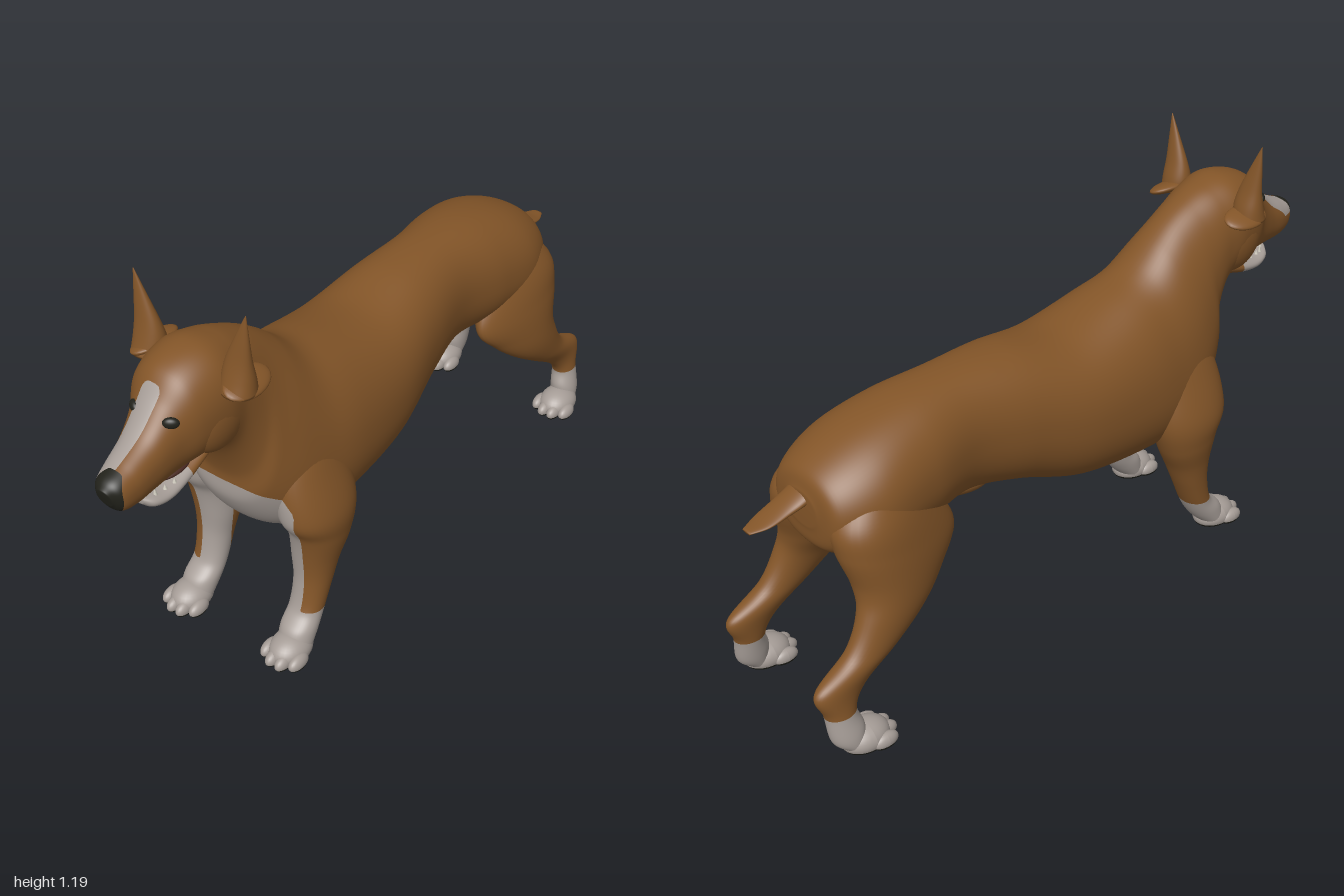
import * as THREE from 'three';

const mat = (name, color) => new THREE.MeshStandardMaterial({ name, color });
const brown = mat('brown coat', 0x835528);
const white = mat('white markings', 0xa69d97);
const black = mat('black nose and pads', 0x22221b);
const ivory = mat('ivory teeth', 0xd2cdc0);
const mouth = mat('dark mouth', 0x4a2a22);

// Smooth tube through egg-shaped rings. Each section: [centre x, half width, zA, yA, zB, yB, taper],
// where A and B are the two opposite ends of the ring in the side plane; taper narrows the A end.
function loft(sections, { side = 1, around = 40, steps = 8, square = 0.95 } = {}) {
  const curve = (f) => new THREE.CatmullRomCurve3(sections.map(f), false, 'catmullrom', 0.5);
  const ends = [curve((s) => new THREE.Vector3(0, s[3], s[2])), curve((s) => new THREE.Vector3(0, s[5], s[4]))];
  const widths = curve((s) => new THREE.Vector3(s[0] * side, s[1], s[6] ?? 0));
  const rings = (sections.length - 1) * steps;
  const pos = [], index = [];
  const soft = (v) => Math.sign(v) * Math.abs(v) ** square;
  for (let i = 0; i <= rings; i++) {
    const [a, b] = ends.map((c) => c.getPoint(i / rings));
    const w = widths.getPoint(i / rings);
    for (let j = 0; j < around; j++) {
      const t = (j / around) * Math.PI * 2, s = soft(Math.sin(t));
      pos.push(w.x + w.y * soft(Math.cos(t)) * (1 - w.z * s),
        (a.y + b.y) / 2 + s * (a.y - b.y) / 2, (a.z + b.z) / 2 + s * (a.z - b.z) / 2);
    }
  }
  for (let i = 0; i < rings; i++) for (let j = 0; j < around; j++) {
    const k = (j + 1) % around, a = i * around + j, b = i * around + k;
    index.push(a, b, b + around, a, b + around, a + around);
  }
  // close both ends
  [0, rings].forEach((i) => {
    const a = ends[0].getPoint(i / rings), b = ends[1].getPoint(i / rings), c = pos.length / 3;
    pos.push(widths.getPoint(i / rings).x, (a.y + b.y) / 2, (a.z + b.z) / 2);
    for (let j = 0; j < around; j++) {
      const p = i * around + j, q = i * around + (j + 1) % around;
      if (i) index.push(p, q, c); else index.push(q, p, c);
    }
  });
  const g = new THREE.BufferGeometry();
  g.setAttribute('position', new THREE.Float32BufferAttribute(pos, 3));
  g.setIndex(index);
  g.computeVertexNormals();
  return g;
}

// Ellipsoid, optionally flattened against the ground
function blob(x, y, z, rx, ry, rz, grounded = false) {
  const g = new THREE.SphereGeometry(1, 28, 20).scale(rx, ry, rz).translate(x, y, z);
  if (grounded) {
    const p = g.attributes.position;
    for (let i = 0; i < p.count; i++) p.setY(i, Math.max(p.getY(i), 0.003));
    g.computeVertexNormals();
  }
  return g;
}

// Gives the faces where field k is positive to material k + 1, cutting faces on the edge
function paint(g, fields) {
  const pos = [...g.attributes.position.array], nor = [...g.attributes.normal.array], src = g.index.array;
  let base = [];
  for (let i = 0; i < src.length; i += 3) base.push([src[i], src[i + 1], src[i + 2]]);
  const bins = fields.map((field) => {
    const inside = [], outside = [];
    const value = (v) => field(pos[3 * v], pos[3 * v + 1], pos[3 * v + 2]);
    const cut = (a, b) => {
      const va = value(a), t = va / (va - value(b));
      for (const list of [pos, nor]) for (let k = 0; k < 3; k++) {
        list.push(THREE.MathUtils.lerp(list[3 * a + k], list[3 * b + k], t));
      }
      return pos.length / 3 - 1;
    };
    for (const f of base) {
      const on = f.map((v) => value(v) > 0), count = on.filter(Boolean).length;
      if (count % 3 === 0) { (count ? inside : outside).push(f); continue; }
      const lone = on.indexOf(count === 1);
      const [a, b, c] = [0, 1, 2].map((k) => f[(lone + k) % 3]);
      const p = cut(a, b), q = cut(a, c);
      (count === 1 ? inside : outside).push([a, p, q]);
      (count === 1 ? outside : inside).push([p, b, c], [p, c, q]);
    }
    base = outside;
    return inside;
  });
  const out = new THREE.BufferGeometry();
  out.setAttribute('position', new THREE.Float32BufferAttribute(pos, 3));
  out.setAttribute('normal', new THREE.Float32BufferAttribute(nor, 3));
  out.setIndex([base, ...bins].flat(2));
  let start = 0;
  [base, ...bins].forEach((b, m) => { out.addGroup(start, b.length * 3, m); start += b.length * 3; });
  return out;
}

const BODY = [
  [0, 0.06, -0.85, 0.665, -0.85, 0.57], [0, 0.14, -0.82, 0.725, -0.83, 0.5, 0.05],
  [0, 0.19, -0.7, 0.785, -0.72, 0.46, 0.08], [0, 0.178, -0.55, 0.82, -0.55, 0.46, 0.05],
  [0, 0.148, -0.38, 0.83, -0.38, 0.465], [0, 0.172, -0.2, 0.825, -0.2, 0.42],
  [0, 0.208, 0, 0.8, 0, 0.345], [0, 0.215, 0.2, 0.84, 0.22, 0.322, 0.08],
  [0, 0.203, 0.3, 0.875, 0.38, 0.33, 0.15], [0, 0.183, 0.38, 0.94, 0.48, 0.39, 0.2],
  [0, 0.155, 0.44, 0.985, 0.55, 0.5, 0.18], [0, 0.134, 0.5, 1.02, 0.56, 0.6, 0.1],
  [0, 0.125, 0.57, 1.05, 0.6, 0.7], [0, 0.128, 0.65, 1.065, 0.65, 0.76],
  [0, 0.113, 0.74, 1.04, 0.72, 0.765], [0.008, 0.082, 0.8, 0.98, 0.78, 0.765],
  [0.014, 0.066, 0.86, 0.925, 0.86, 0.765], [0.018, 0.057, 0.93, 0.89, 0.92, 0.765],
  [0.022, 0.045, 0.978, 0.872, 0.965, 0.775], [0.022, 0.022, 1.0, 0.852, 0.985, 0.8],
];
const FRONT_LEG = [
  [0.11, 0.045, 0.42, 0.72, 0.28, 0.68], [0.138, 0.07, 0.49, 0.6, 0.25, 0.57],
  [0.168, 0.087, 0.505, 0.46, 0.25, 0.45], [0.175, 0.077, 0.47, 0.38, 0.28, 0.35],
  [0.17, 0.064, 0.455, 0.28, 0.32, 0.27], [0.171, 0.054, 0.455, 0.2, 0.35, 0.2],
  [0.17, 0.05, 0.475, 0.12, 0.39, 0.11], [0.172, 0.052, 0.52, 0.075, 0.42, 0.06],
  [0.175, 0.05, 0.54, 0.02, 0.46, 0.015],
];
const HIND_LEG = [
  [0.09, 0.05, -0.6, 0.73, -0.76, 0.7, 0.2], [0.115, 0.086, -0.53, 0.6, -0.835, 0.61, 0.3],
  [0.135, 0.086, -0.48, 0.48, -0.84, 0.53, 0.35], [0.158, 0.076, -0.54, 0.4, -0.815, 0.43, 0.25],
  [0.18, 0.06, -0.62, 0.33, -0.825, 0.36, 0.1], [0.19, 0.046, -0.72, 0.26, -0.88, 0.27],
  [0.195, 0.036, -0.83, 0.185, -0.985, 0.205], [0.202, 0.036, -0.875, 0.13, -0.968, 0.13],
  [0.214, 0.042, -0.865, 0.075, -0.96, 0.05], [0.22, 0.04, -0.87, 0.02, -0.93, 0.015],
];
const EAR = [
  [0.14, 0.046, 0.59, 0.97, 0.68, 0.97], [0.138, 0.045, 0.596, 1.01, 0.667, 1.01],
  [0.142, 0.036, 0.609, 1.06, 0.655, 1.06], [0.155, 0.02, 0.622, 1.125, 0.645, 1.125],
  [0.17, 0.001, 0.634, 1.195, 0.636, 1.195],
];
const TAIL = [
  [0.02, 0.016, -0.998, 0.61, -0.998, 0.602], [0.02, 0.034, -0.95, 0.62, -0.95, 0.605],
  [0.02, 0.04, -0.89, 0.642, -0.89, 0.614], [0.015, 0.044, -0.845, 0.667, -0.85, 0.625],
  [0.01, 0.045, -0.79, 0.71, -0.8, 0.64],
];
const JAW = [
  [0, 0.06, 0.66, 0.79, 0.66, 0.74], [0.005, 0.06, 0.74, 0.763, 0.74, 0.715],
  [0.01, 0.057, 0.81, 0.748, 0.81, 0.704], [0.014, 0.045, 0.86, 0.752, 0.86, 0.712],
  [0.016, 0.02, 0.885, 0.755, 0.883, 0.732],
];

// Marking outlines, positive inside
const bib = (x, y, z) => Math.min(z - 0.42, y - 0.36, 0.567 - 60 * x ** 4 - y, 0.19 - Math.abs(x));
const blaze = (x, y, z) => Math.min(z - 0.7, y - 0.84, 1.012 - 2e4 * (x + 0.005) ** 4 - y, x + 0.036, 0.024 - x);
const nose = (x, y, z) => Math.min(z - 0.95, 0.05 * (1 - ((x - 0.022) / 0.044) ** 2 - ((y - 0.828) / 0.057) ** 2));
const frontSock = (x, y, z) => Math.max(0.122 - y,
  Math.min(z - 0.4, 0.567 - 60 * x ** 4 - y, 0.178 + 0.05 * Math.max(0, y - 0.3) - Math.abs(x)));
const hindSock = (x, y) => 0.125 - y;
const sole = (x, y) => 0.011 - y;

export function createModel() {
  const model = new THREE.Group();
  model.name = 'dog';
  const add = (name, geometry, material) => {
    const m = new THREE.Mesh(geometry, material);
    m.name = name;
    model.add(m);
  };

  // Trunk, neck and head in one skin, with bib, nose and blaze
  add('body', paint(loft(BODY, { around: 80, steps: 10, square: 0.9 }), [bib, nose, blaze]), [brown, white, black, white]);
  add('tail', loft(TAIL), brown);
  add('belly', blob(0, 0, 0, 0.03, 0.025, 0.1).rotateX(0.25).translate(0, 0.442, -0.345), brown);

  // Open lower jaw with a row of teeth
  add('lowerJaw', paint(loft(JAW), [(x, y, z) => z - 0.735]), [brown, white]);
  add('mouthInside', blob(0.008, 0.762, 0.76, 0.045, 0.014, 0.07), mouth);
  for (let i = 0; i <= 8; i++) {
    const a = (i / 8) * Math.PI;
    add('tooth', new THREE.ConeGeometry(0.006, i === 2 || i === 6 ? 0.022 : 0.014, 6)
      .translate(0.013 + 0.042 * Math.cos(a), 0.756, 0.79 + 0.08 * Math.sin(a)), ivory);
  }

  for (const side of [1, -1]) {
    const label = side > 0 ? 'left' : 'right';
    // Head details
    add(label + 'Eye', blob(0, 0, 0, 0.021, 0.015, 0.012)
      .rotateY(side * 0.6).translate(0.015 + side * 0.056, 0.947, 0.803), black);
    add(label + 'Cheek', blob(side * 0.078, 0.88, 0.65, 0.05, 0.1, 0.1), brown);
    add(label + 'Ear', loft(EAR, { side }), brown);
    add(label + 'EarFold', blob(0, 0, 0, 0.046, 0.016, 0.075)
      .rotateZ(-side * 0.35).translate(side * 0.145, 0.982, 0.612), brown);

    // Legs with white socks; the front ones are white inside and in front
    add(label + 'FrontLeg', paint(loft(FRONT_LEG, { side, steps: 10 }), [frontSock]), [brown, white]);
    add(label + 'HindLeg', paint(loft(HIND_LEG, { side, steps: 10, square: 1 }), [hindSock]), [brown, white]);

    // Paws: a pad, four toes and dark soles
    for (const [name, px, pz] of [['FrontPaw', 0.176, 0.515], ['HindPaw', 0.222, -0.865]]) {
      const paw = (part, g) => add(label + name + part, paint(g, [sole]), [white, black]);
      paw('', blob(side * px, 0.024, pz, 0.056, 0.045, 0.07, true));
      for (let i = 0; i < 4; i++) {
        const reach = i === 1 || i === 2 ? 0.05 : 0.03;
        paw('Toe', blob(side * (px + (i - 1.5) * 0.032), 0.017, pz + reach, 0.02, 0.024, 0.038, true));
      }
    }
  }
  return model;
}
